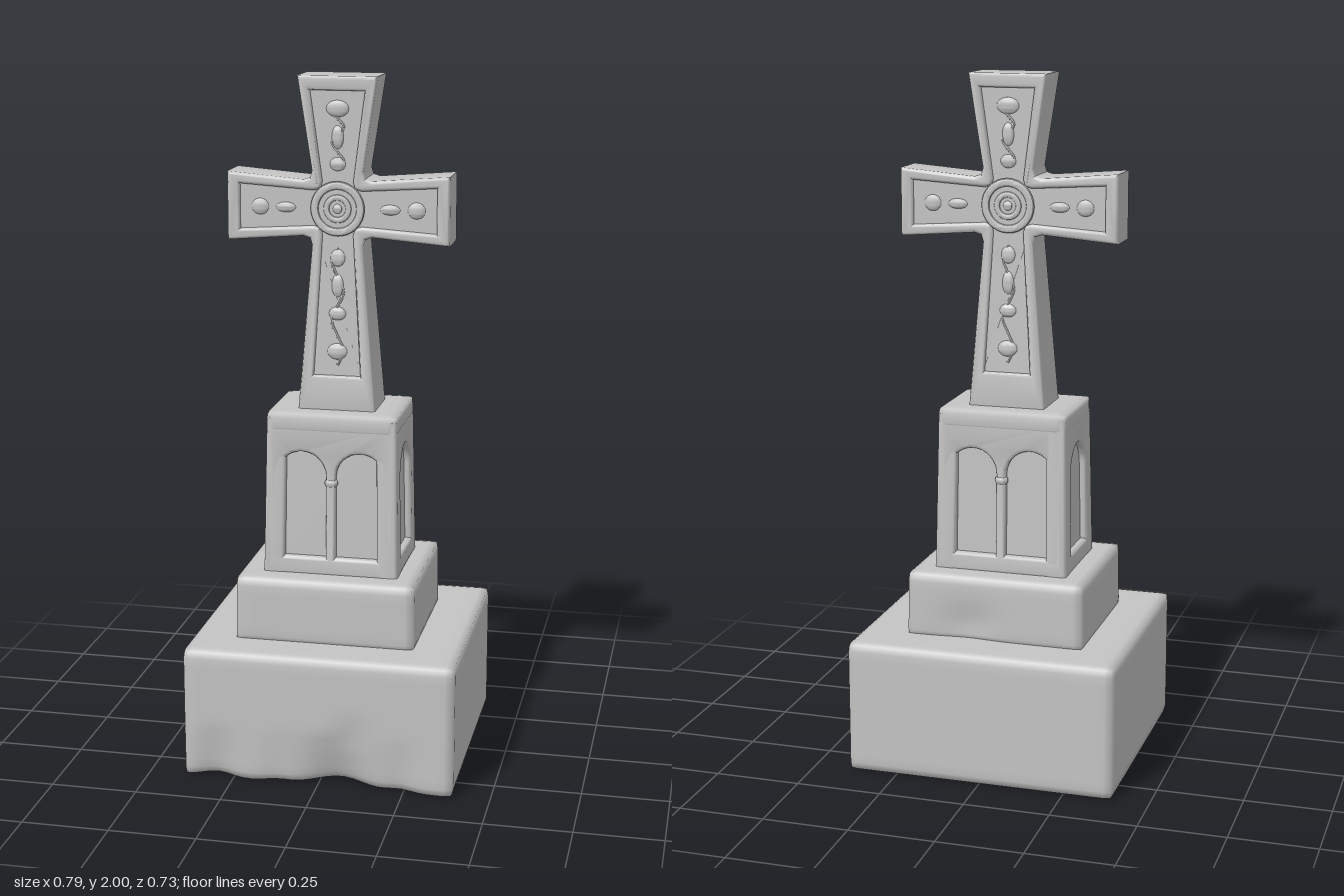
import * as THREE from 'three';
import { mergeVertices, toCreasedNormals } from 'three/addons/utils/BufferGeometryUtils.js';

const stone = new THREE.MeshStandardMaterial({ color: 0xc4c4c4 });
stone.name = 'pale grey stone';
const CROSS_Y = 1.63;

function add(parent, name, geometry) {
  const mesh = new THREE.Mesh(geometry, stone);
  mesh.name = name;
  parent.add(mesh);
  return mesh;
}

// Move every vertex of a geometry by a rule
function warp(geometry, rule) {
  const p = geometry.attributes.position, v = new THREE.Vector3();
  for (let i = 0; i < p.count; i++) {
    rule(v.fromBufferAttribute(p, i));
    p.setXYZ(i, v.x, v.y, v.z);
  }
  return geometry;
}

// Block with worn round edges, standing on y = 0
function wornBlock(w, h, d, r, rule) {
  const cells = s => Math.max(4, Math.round(s / 0.025));
  let g = new THREE.BoxGeometry(w, h, d, cells(w), cells(h), cells(d));
  const inner = new THREE.Vector3(w / 2 - r, h / 2 - r, d / 2 - r);
  const low = inner.clone().negate(), c = new THREE.Vector3();
  warp(g, v => {
    c.copy(v).clamp(low, inner);
    v.sub(c).setLength(r).add(c);
    v.y += h / 2;
    rule(v);
  });
  g.deleteAttribute('uv');
  g.deleteAttribute('normal');
  g = mergeVertices(g, 1e-5);
  g.computeVertexNormals();
  return g;
}

// Slab centred on z = 0 whose bevels stay inside the outline
function slab(shape, thickness, bevel) {
  return new THREE.ExtrudeGeometry(shape, {
    depth: thickness - 2 * bevel, bevelEnabled: bevel > 0, bevelSize: bevel,
    bevelThickness: bevel, bevelOffset: -bevel, bevelSegments: 3, curveSegments: 14,
  }).translate(0, 0, bevel - thickness / 2);
}

const bump = (x, centre, width) => Math.exp(-(((x - centre) / width) ** 2));

// Rough base with a broken lower front edge, and the step above it
function buildBase(root) {
  add(root, 'base', wornBlock(0.79, 0.39, 0.73, 0.016, v => {
    const low = Math.max(0, 1 - v.y / 0.17);
    if (v.z > 0.25) {
      const chip = 0.05 * bump(v.x, 0.06, 0.1) + 0.025 * bump(v.x, -0.3, 0.06)
        + 0.015 * bump(v.x, 0.24, 0.05) + 0.012 * bump(v.x, -0.12, 0.05);
      v.z -= chip * low;
      v.y += chip * 0.25 * low;
    }
    if (v.z > 0.3) v.z -= 0.008 * bump(v.x, 0.1, 0.06) * bump(v.y, 0.17, 0.04);
  }));
  const step = add(root, 'step', wornBlock(0.525, 0.2, 0.465, 0.013, v => {
    v.x *= 1 - 0.06 * (v.y - 0.1);
    if (v.z < -0.18) v.z += 0.014 * bump(v.x, 0.08, 0.08) * bump(v.y, 0.05, 0.06);
  }));
  step.position.set(-0.006, 0.376, 0.003);
}

function arch(cx, r, bottom, top) {
  const p = new THREE.Path();
  p.moveTo(cx - r, bottom);
  p.lineTo(cx - r, top - r);
  p.absarc(cx, top - r, r, Math.PI, 0, true);
  p.lineTo(cx + r, bottom);
  p.closePath();
  return p;
}

// Tapering pedestal: a core faced by four slabs pierced with arches
function buildPedestal(root) {
  const group = new THREE.Group();
  group.name = 'pedestal';
  root.add(group);
  const W = 0.195, D = 0.151, bottom = 0.57, top = 1.035, t = 0.06, recess = 0.02;
  const taper = g => toCreasedNormals(warp(g, v => {
    const k = (v.y - bottom) / 0.48;
    v.x = v.x * (1.015 - 0.045 * k) - 0.003;
    v.z = v.z * (1.05 - 0.1 * k) + 0.003;
  }), 0.6);
  const face = (half, arches) => {
    const s = new THREE.Shape([[-half, bottom], [half, bottom], [half, top], [-half, top]]
      .map(p => new THREE.Vector2(...p)));
    s.holes.push(...arches);
    return slab(s, t, 0.01);
  };
  add(group, 'pedestalCore', taper(new THREE.BoxGeometry(2 * (W - recess), top - bottom, 2 * (D - recess))
    .translate(0, (top + bottom) / 2, 0)));
  const cap = add(group, 'pedestalTop', wornBlock(0.381, 0.06, 0.29, 0.012, v => {
    v.x *= 1.006 - 0.1 * v.y;
    v.z *= 1.01 - 0.17 * v.y;
  }));
  cap.position.set(-0.003, 0.991, 0.003);
  for (const turn of [0, Math.PI]) {
    const twin = face(W, [-1, 1].map(s => arch(s * 0.087, 0.073, 0.625, 0.938)));
    add(group, 'twinArchFace', taper(twin.translate(0, 0, D - t / 2).rotateY(turn)));
    const single = face(D, [arch(0, 0.083, 0.625, 0.938)]);
    add(group, 'singleArchFace', taper(single.translate(0, 0, W - t / 2).rotateY(turn + Math.PI / 2)));
    // Slender column and capital between the twin arches
    const z = D - 0.012;
    add(group, 'column', taper(new THREE.CylinderGeometry(0.012, 0.012, 0.21, 12)
      .translate(0, 0.735, z).rotateY(turn)));
    add(group, 'capital', taper(new THREE.SphereGeometry(0.02, 12, 8).scale(1, 0.8, 0.8)
      .translate(0, 0.848, z).rotateY(turn)));
  }
}

// Flared cross outline, mirrored from its right half
function crossOutline(bottom, foot, waist, head, top, armX, armEnd, armWaist) {
  const lo = CROSS_Y - armWaist, hi = CROSS_Y + armWaist;
  const right = [
    [foot, bottom], [waist, lo - 0.025], [waist + 0.006, lo - 0.006], [waist + 0.025, lo],
    [armX, CROSS_Y - armEnd], [armX, CROSS_Y + armEnd],
    [waist + 0.025, hi], [waist + 0.006, hi + 0.006], [waist, hi + 0.025], [head, top],
  ];
  const left = right.map(([x, y]) => [-x, y]).reverse();
  return new THREE.Shape([...right, ...left].map(p => new THREE.Vector2(...p)));
}

function buildCross(root) {
  const group = new THREE.Group();
  group.name = 'cross';
  root.add(group);
  // The shaft thickens towards its foot and slightly towards the head
  const depth = g => toCreasedNormals(warp(g, v => {
    const below = Math.max(0, 1.53 - v.y) / 0.48, above = Math.max(0, v.y - 1.73) / 0.27;
    v.z = v.z * (1 + 0.24 * below + 0.1 * above) + 0.003;
  }), 0.6);
  const frame = crossOutline(1.04, 0.114, 0.074, 0.114, 2.0, 0.32, 0.098, 0.08);
  frame.holes.push(crossOutline(1.15, 0.068, 0.044, 0.078, 1.96, 0.283, 0.064, 0.05));
  add(group, 'crossFrame', depth(slab(frame, 0.136, 0.009)));
  const panel = crossOutline(1.1, 0.09, 0.058, 0.094, 1.98, 0.3, 0.08, 0.065);
  add(group, 'sunkPanel', depth(slab(panel, 0.116, 0)));

  // Carving on both faces: [x, y, half width, half height]
  const knobs = [
    [0, 1.91, 0.034, 0.024], [0, 1.83, 0.018, 0.034], [0, 1.755, 0.024, 0.02],
    [0, 1.49, 0.022, 0.026], [0, 1.41, 0.018, 0.034], [0, 1.33, 0.026, 0.02], [0, 1.22, 0.03, 0.024],
    [0.225, 1.63, 0.026, 0.024], [-0.225, 1.63, 0.026, 0.024],
    [0.15, 1.63, 0.03, 0.015], [-0.15, 1.63, 0.03, 0.015],
  ];
  for (const turn of [0, Math.PI]) {
    const carve = (name, g) => add(group, name, depth(g.rotateY(turn)));
    for (const [x, y, w, h] of knobs)
      carve('carvedKnob', new THREE.SphereGeometry(1, 16, 12).scale(w, h, 0.009).translate(x, y, 0.056));
    // Winding stems along the shaft and head
    for (const [from, to] of [[1.18, 1.52], [1.74, 1.93]]) {
      const points = [];
      for (let i = 0; i <= 8; i++)
        points.push(new THREE.Vector3(0.017 * Math.sin(i * Math.PI / 2), from + (to - from) * i / 8, 0.056));
      carve('carvedStem', new THREE.TubeGeometry(new THREE.CatmullRomCurve3(points), 32, 0.005, 8));
    }
    // Round medallion over the crossing
    carve('medallion', new THREE.CylinderGeometry(0.07, 0.078, 0.014, 32).rotateX(Math.PI / 2)
      .translate(0, CROSS_Y, 0.058));
    carve('medallionRing', new THREE.TorusGeometry(0.066, 0.012, 10, 32).scale(1, 1, 0.6)
      .translate(0, CROSS_Y, 0.064));
    carve('innerRing', new THREE.TorusGeometry(0.032, 0.009, 10, 24).scale(1, 1, 0.6)
      .translate(0, CROSS_Y, 0.064));
    carve('medallionBoss', new THREE.SphereGeometry(0.014, 12, 8).scale(1, 1, 0.45)
      .translate(0, CROSS_Y, 0.064));
  }
}

export function createModel() {
  const root = new THREE.Group();
  root.name = 'stoneCross';
  buildBase(root);
  buildPedestal(root);
  buildCross(root);
  return root;
}
